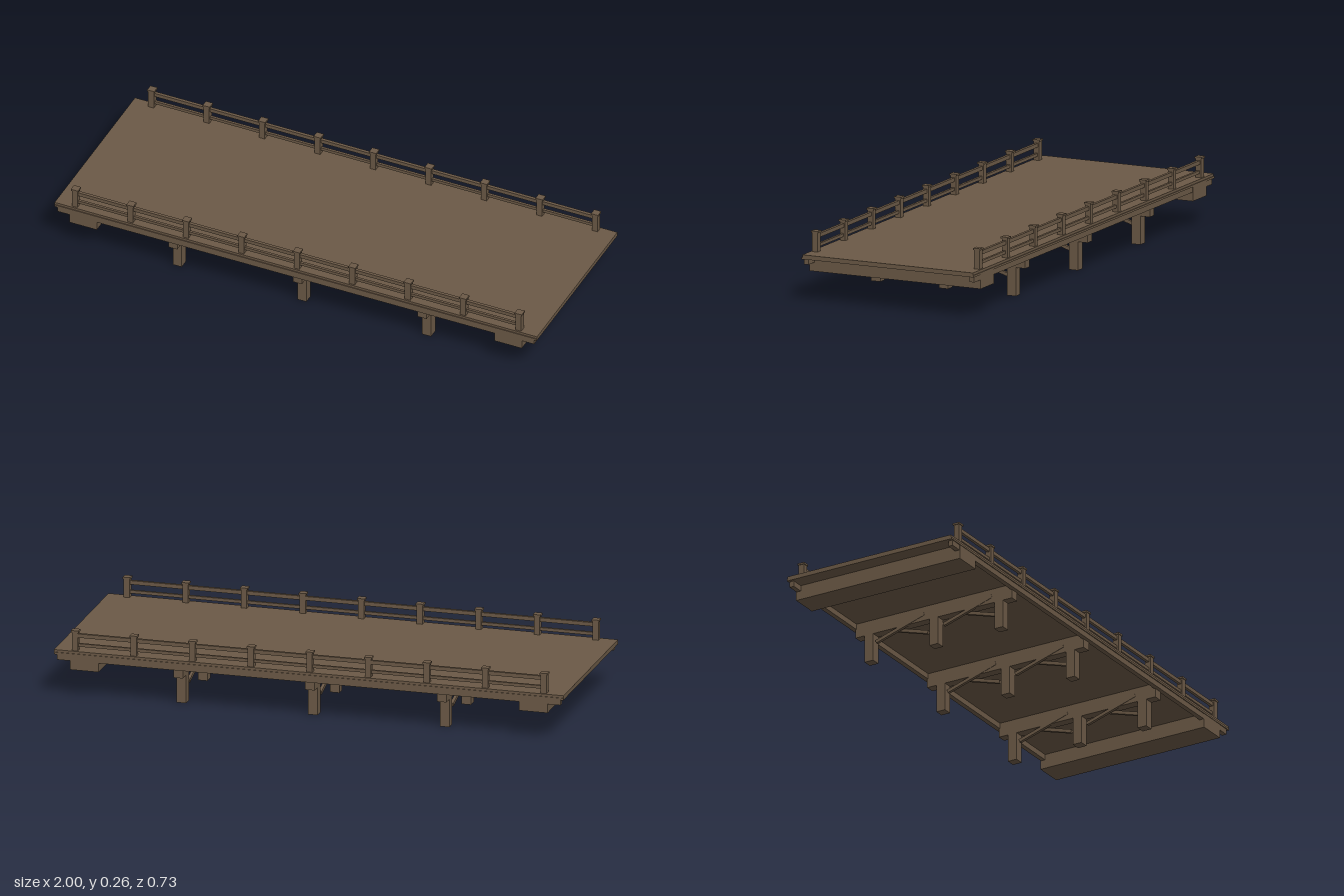
import * as THREE from 'three';

export function createModel() {
  const model = new THREE.Group();
  model.name = 'bridge';
  const wood = new THREE.MeshStandardMaterial({ color: 0x6b5946 });
  wood.name = 'weathered wood';

  // Box given by its centre and size
  function box(parent, name, [x, y, z], [w, h, d]) {
    const mesh = new THREE.Mesh(new THREE.BoxGeometry(w, h, d), wood);
    mesh.name = name;
    mesh.position.set(x, y, z);
    parent.add(mesh);
    return mesh;
  }
  function group(name, x = 0, z = 0) {
    const g = new THREE.Group();
    g.name = name;
    g.position.set(x, 0, z);
    model.add(g);
    return g;
  }

  // Deck slab
  box(model, 'deck', [0, 0.175, 0], [2, 0.017, 0.72]);

  // Edge trim, long side beams and railings
  for (const side of [1, -1]) {
    box(model, 'edgeTrim', [0, 0.17, side * 0.3565], [2, 0.008, 0.013]);
    box(model, 'sideBeam', [0, 0.156, side * 0.35], [1.975, 0.023, 0.019]);

    const railing = group('railing', 0, side * 0.342);
    for (let i = -4; i <= 4; i++) {
      box(railing, 'post', [i * 0.23, 0.22, 0], [0.023, 0.075, 0.023]);
      box(railing, 'postCap', [i * 0.23, 0.26, 0], [0.029, 0.007, 0.029]);
    }
    box(railing, 'topRail', [0, 0.242, 0], [1.84, 0.015, 0.012]);
    box(railing, 'lowerRail', [0, 0.205, 0], [1.84, 0.012, 0.01]);
  }

  // Solid supports at both ends
  for (const end of [1, -1]) {
    box(model, 'abutment', [end * 0.881, 0.1385, 0], [0.113, 0.057, 0.722]);
  }

  // Three piers: cap beam, three piles and crossed braces between them
  for (const x of [-0.517, 0, 0.517]) {
    const pier = group('pier', x);
    box(pier, 'capBeam', [0, 0.1385, 0], [0.037, 0.057, 0.69]);
    for (const z of [-0.286, 0, 0.286]) {
      box(pier, 'pile', [0, 0.056, z], [0.037, 0.112, 0.038]);
    }
    for (const z of [-0.149, 0.149]) {
      for (const tilt of [1, -1]) {
        const brace = box(pier, 'brace', [tilt * 0.014, 0.1055, z], [0.012, 0.013, 0.223]);
        brace.rotation.x = tilt * 0.298;
      }
    }
  }
  return model;
}
